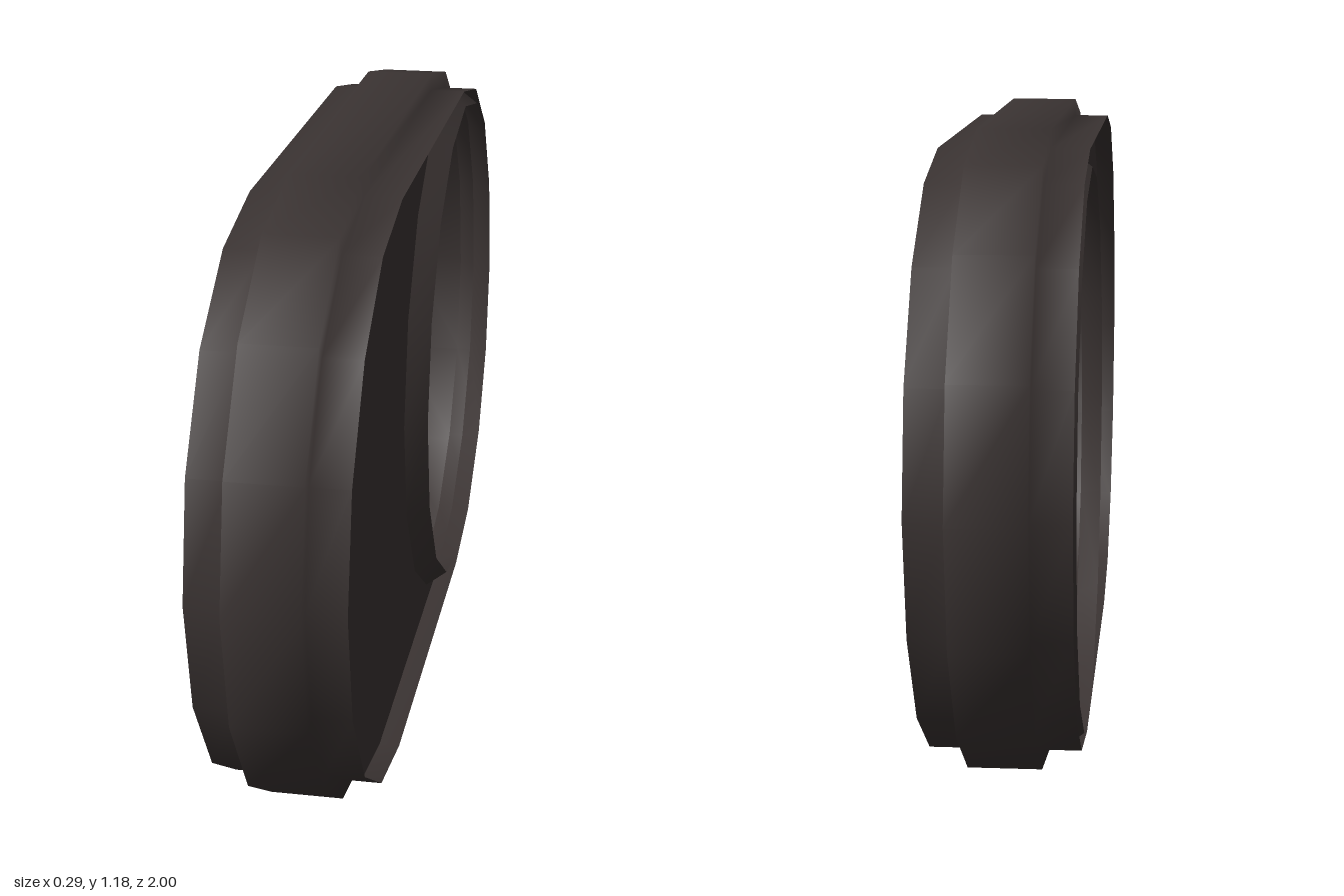
import * as THREE from 'three';

const MID_Y = 0.5925;   // height of the long axis
const END_Z = 0.417;    // centres of the two rounded ends
const FLAT = 0.984;     // rounded ends are slightly shorter than high
const SEG = 8;          // sides per half circle
const H = Math.PI / 2;

// Half circle of points [z, y] about (cz, MID_Y), from angle a0 to a1
function arc(cz, r, a0, a1) {
  const pts = [];
  for (let i = 0; i <= SEG; i++) {
    const a = a0 + (a1 - a0) * i / SEG;
    pts.push([cz + FLAT * r * Math.cos(a), MID_Y + r * Math.sin(a)]);
  }
  return pts;
}

const stadium = r => [...arc(END_Z, r, -H, H), ...arc(-END_Z, r, H, 3 * H)];
const circle = r => [...arc(-END_Z, r, -H, H), ...arc(-END_Z, r, H, 3 * H).slice(1, -1)];

// Sweep a profile of [x, radius] round an outline as one smooth thin shell
function sweep(profile, outline) {
  const pos = [], index = [];
  const n = outline(1).length;
  profile.forEach(([x, r], s) => {
    outline(r).forEach(([z, y], i) => {
      pos.push(x, y, z);
      if (s === 0) return;
      const j = (i + 1) % n, a = (s - 1) * n, b = s * n;
      index.push(a + i, b + i, b + j, a + i, b + j, a + j);
    });
  });
  const g = new THREE.BufferGeometry();
  g.setAttribute('position', new THREE.Float32BufferAttribute(pos, 3));
  g.setIndex(index);
  g.computeVertexNormals();
  return g;
}

export function createModel() {
  const group = new THREE.Group();
  const dark = new THREE.MeshStandardMaterial({ color: 0x3a3332, side: THREE.DoubleSide });
  dark.name = 'dark brown';
  const add = (name, geometry) => {
    const mesh = new THREE.Mesh(geometry, dark);
    mesh.name = name;
    group.add(mesh);
    return mesh;
  };

  const rim = 0.139, plateX = 0.1, band = 0.068;
  const rBand = 0.5925, rSide = 0.557, rHole = 0.525;

  // Thin outer wall with a raised band; its rims stand proud of the side plates
  add('outerWall', sweep([
    [-rim, rSide], [-band, rSide], [-band, rBand],
    [band, rBand], [band, rSide], [rim, rSide],
  ], stadium));

  // Recessed crescent side plates, cut away round the opening
  const crescent = new THREE.Shape([
    ...arc(END_Z, rSide, -H, H),
    ...arc(-END_Z, rSide, H, -H),
  ].map(([z, y]) => new THREE.Vector2(z, y)));
  add('leftPlate', new THREE.ShapeGeometry(crescent).rotateY(-H).scale(-1, 1, 1)).position.x = plateX;
  add('rightPlate', new THREE.ShapeGeometry(crescent).rotateY(-H)).position.x = -plateX;

  // Lips flaring out from the plates round the opening
  const lip = [[plateX, rSide], [0.143, rHole]];
  add('leftLip', sweep(lip, circle));
  add('rightLip', sweep(lip.map(([x, r]) => [-x, r]).reverse(), circle));

  return group;
}
